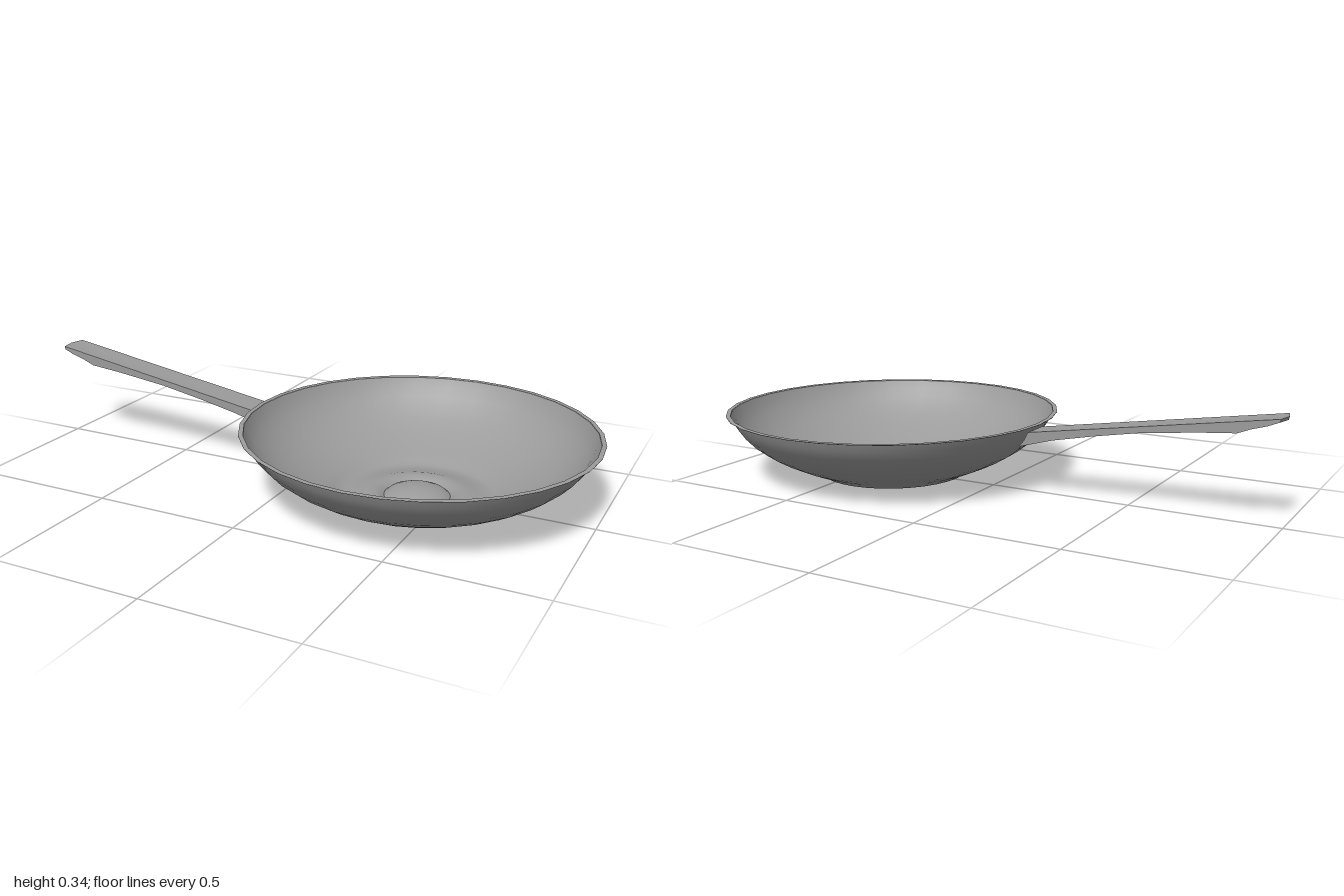
import * as THREE from 'three';

const material = () => new THREE.MeshStandardMaterial({ color: 0x9b9b9b, side: THREE.DoubleSide });
const points = (list) => list.map(([x, y]) => new THREE.Vector2(x, y));

// Revolved part centred on the pan's axis
function revolve(name, profile) {
  const mesh = new THREE.Mesh(new THREE.LatheGeometry(points(profile), 32), material());
  mesh.name = name;
  return mesh;
}

export function createModel() {
  const model = new THREE.Group();
  model.name = 'fryingPan';

  const pan = new THREE.Group();
  pan.name = 'pan';
  pan.position.x = 0.411;

  // Raised centre, with a crease where it meets the floor
  pan.add(revolve('centreDome', [[0, 0.032], [0.035, 0.03], [0.07, 0.023], [0.096, 0.012], [0.11, 0]]));

  // Floor dipping to the centre, small foot step and curved wall in one smooth surface
  pan.add(revolve('bowl', [
    [0.11, 0], [0.122, 0.009], [0.14, 0.015], [0.165, 0.015], [0.2, 0.006], [0.235, 0.001],
    [0.262, 0.003], [0.276, 0.014], [0.32, 0.031], [0.37, 0.052], [0.42, 0.077],
    [0.465, 0.104], [0.505, 0.135], [0.538, 0.17], [0.56, 0.202], [0.573, 0.231],
  ]));

  // Thin flat lip
  pan.add(revolve('rim', [[0.573, 0.231], [0.588, 0.231], [0.588, 0.233], [0.573, 0.233]]));
  model.add(pan);

  // Handle: side outline extruded across its width, its inner end following the wall
  const outline = new THREE.Shape(points([
    [-1, 0.345], [-0.998, 0.335], [-0.95, 0.32], [-0.9, 0.305], [-0.86, 0.289], [-0.74, 0.278],
    [-0.55, 0.255], [-0.4, 0.228], [-0.25, 0.197], [-0.126, 0.162], [-0.146, 0.186], [-0.16, 0.214],
  ]));
  const width = 0.105;
  const geometry = new THREE.ExtrudeGeometry(outline, { depth: width, steps: 2, bevelEnabled: false });
  geometry.translate(0, 0, -width / 2);

  // Pull the tip's corners back so that its end is slightly pointed
  const position = geometry.attributes.position;
  for (let i = 0; i < position.count; i++) {
    if (position.getX(i) < -0.99 && Math.abs(position.getZ(i)) > 0.01) {
      position.setX(i, position.getX(i) + 0.012);
    }
  }
  geometry.computeVertexNormals();
  const handle = new THREE.Mesh(geometry, material());
  handle.name = 'handle';
  model.add(handle);

  return model;
}
